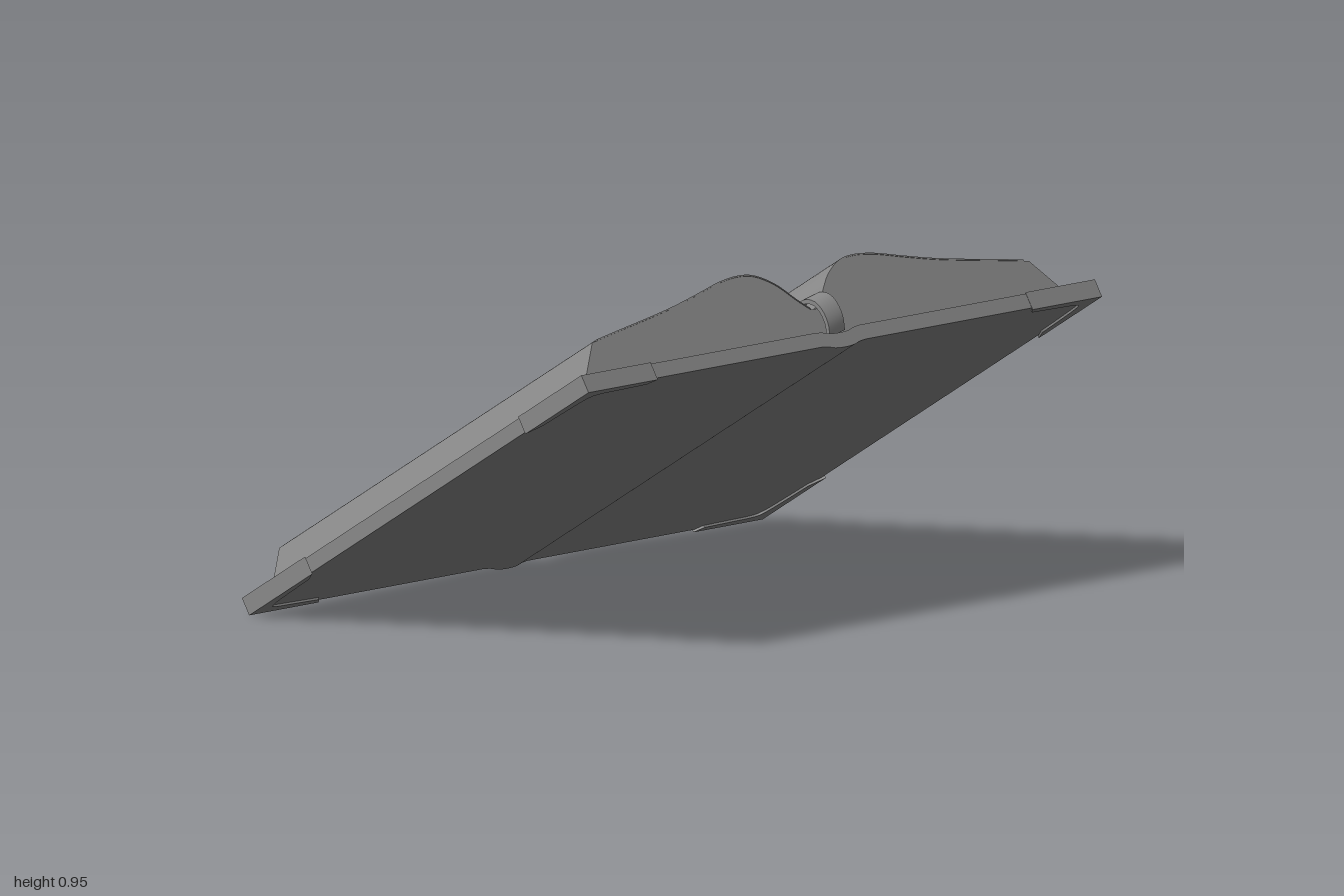
import * as THREE from 'three';
import { toCreasedNormals } from 'three/addons/utils/BufferGeometryUtils.js';

const material = new THREE.MeshStandardMaterial({ color: 0x888888 });
const V = (x, y) => new THREE.Vector2(x, y);

// Extrudes an x/y outline along z, centred, with smooth curves and sharp corners
function extrudeProfile(points, length) {
  const geometry = new THREE.ExtrudeGeometry(new THREE.Shape(points), { depth: length, bevelEnabled: false });
  geometry.translate(0, 0, -length / 2);
  return toCreasedNormals(geometry, 0.5);
}

function addMesh(parent, name, geometry) {
  const mesh = new THREE.Mesh(geometry, material);
  mesh.name = name;
  parent.add(mesh);
  return mesh;
}

const mirrored = (points) => points.map((p) => V(-p.x, p.y)).reverse();

export function createModel() {
  const model = new THREE.Group();
  model.name = 'openBook';

  // The book is modelled lying flat, then tipped up towards +z
  const book = new THREE.Group();
  book.name = 'tiltedBook';
  book.rotation.x = -THREE.MathUtils.degToRad(31.3);
  book.position.set(0, 0.3765, 0.0515);
  model.add(book);

  // Cover boards joined by a rounded, sagging spine
  const spine = new THREE.SplineCurve([
    V(-0.085, 0.011), V(-0.06, 0.008), V(-0.035, 0.002), V(0, 0),
    V(0.035, 0.002), V(0.06, 0.008), V(0.085, 0.011),
  ]).getPoints(24);
  const coverTop = spine.map((p) => V(p.x, p.y + 0.042)).reverse();
  addMesh(book, 'cover', extrudeProfile(
    [V(-0.994, 0.011), ...spine, V(0.994, 0.011), V(0.994, 0.053), ...coverTop, V(-0.994, 0.053)], 1.444));

  // Corner guards with a concave inner edge
  const inner = new THREE.SplineCurve([
    V(0.75, 0.7), V(0.85, 0.695), V(0.93, 0.69), V(0.955, 0.668), V(0.965, 0.6), V(0.972, 0.5),
  ]).getPoints(20);
  const cornerOutline = [V(0.73, 0.725), ...inner, V(1, 0.455), V(1, 0.725)];
  for (const sx of [-1, 1]) {
    for (const sz of [-1, 1]) {
      const outline = cornerOutline.map((p) => V(p.x * sx, p.y * sz));
      const geometry = new THREE.ExtrudeGeometry(new THREE.Shape(outline), { depth: 0.051, bevelEnabled: false });
      geometry.rotateX(Math.PI / 2);
      geometry.translate(0, 0.056, 0);
      addMesh(book, 'cornerGuard', toCreasedNormals(geometry, 0.5));
    }
  }

  // Page block: two swelling halves meeting in the gutter, with flat sloping fore edges
  const pageTop = new THREE.SplineCurve([
    V(0.012, 0.135), V(0.05, 0.168), V(0.1, 0.217), V(0.16, 0.251), V(0.22, 0.261), V(0.3, 0.254),
    V(0.4, 0.232), V(0.5, 0.211), V(0.6, 0.194), V(0.72, 0.176), V(0.83, 0.159),
  ]).getPoints(50);
  const half = [...pageTop, V(0.85, 0.157), V(0.942, 0.045)];
  addMesh(book, 'pageBlock', extrudeProfile([...mirrored(half), ...half], 1.338));

  // Top sheet on each side
  const sheet = [...pageTop, ...pageTop.map((p) => V(p.x, p.y + 0.004)).reverse()];
  addMesh(book, 'leftTopSheet', extrudeProfile(sheet, 1.342));
  addMesh(book, 'rightTopSheet', extrudeProfile(mirrored(sheet), 1.342));

  // Ribbon marker in the gutter, curling over both ends; outline is in z/y
  const path = new THREE.CatmullRomCurve3([
    [0.69, 0.05], [0.703, 0.085], [0.702, 0.122], [0.69, 0.15], [0.662, 0.168], [0.6, 0.17],
    [0, 0.17], [-0.6, 0.17], [-0.66, 0.168], [-0.705, 0.158], [-0.75, 0.137],
  ].map(([z, y]) => new THREE.Vector3(0, y, z)), false, 'centripetal');
  const upper = [];
  const lower = [];
  const steps = 120;
  for (let i = 0; i <= steps; i++) {
    const p = path.getPointAt(i / steps);
    const t = path.getTangentAt(i / steps);
    upper.push(V(p.z + t.y * 0.006, p.y - t.z * 0.006));
    lower.push(V(p.z - t.y * 0.006, p.y + t.z * 0.006));
  }
  const ribbon = extrudeProfile([...upper, ...lower.reverse()], 0.066);
  ribbon.rotateY(-Math.PI / 2);
  // One long edge of the ribbon rides higher than the other
  ribbon.applyMatrix4(new THREE.Matrix4().makeShear(0.2, 0, 0, 0, 0, 0));
  const marker = addMesh(book, 'ribbonMarker', ribbon);
  marker.position.x = 0.016;
  marker.rotation.y = 0.006;

  return model;
}
